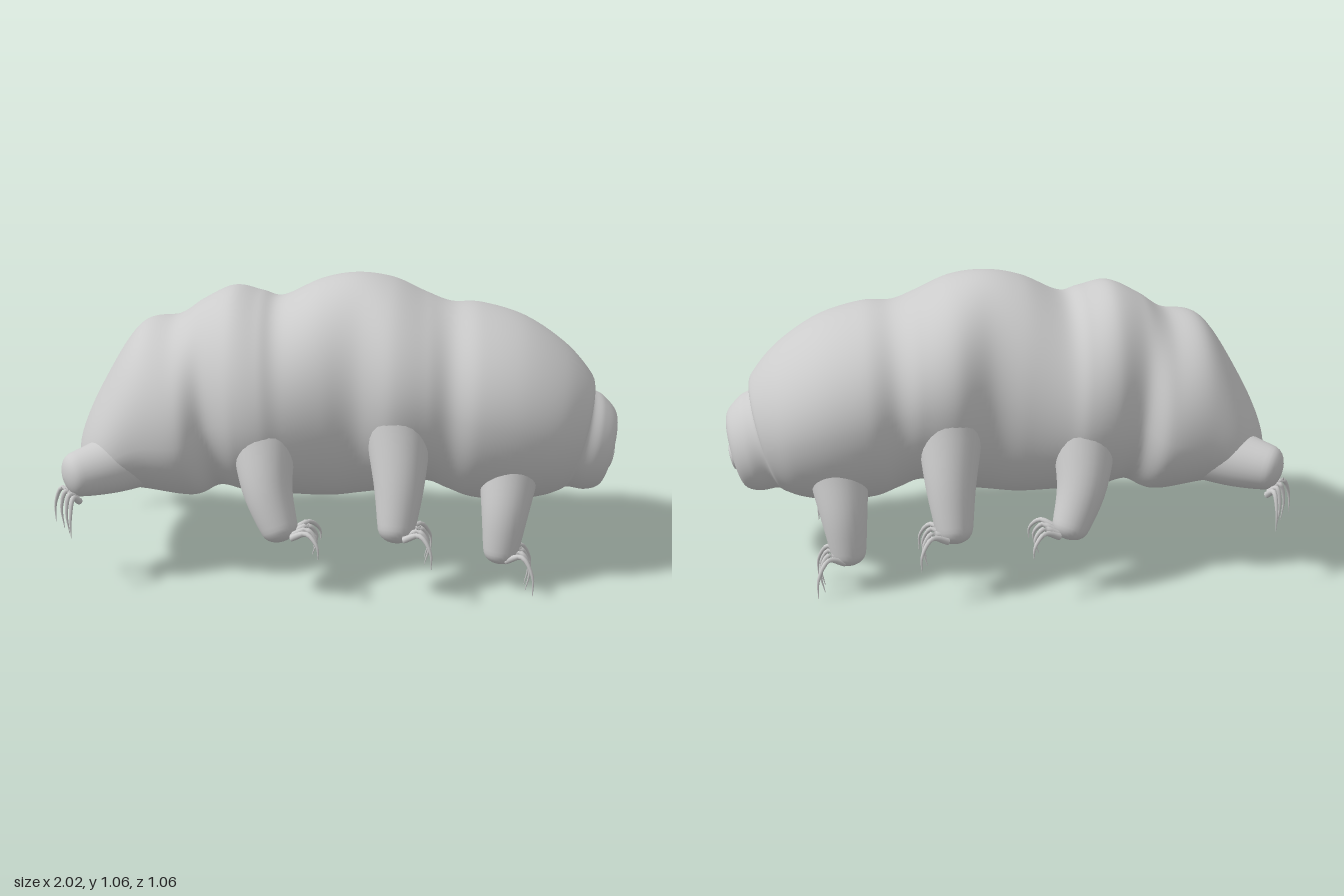
import * as THREE from 'three';

const material = new THREE.MeshStandardMaterial({ color: 0xcccccc, roughness: 0.7 });
const V = (x, y, z) => new THREE.Vector3(x, y, z);

// Smooth skin over a list of closed rings of points
function loft(name, rings) {
  const n = rings[0].length, index = [];
  for (let i = 0; i < rings.length - 1; i++)
    for (let j = 0; j < n; j++) {
      const a = i * n + j, b = i * n + (j + 1) % n;
      index.push(a, b, a + n, b, b + n, a + n);
    }
  const g = new THREE.BufferGeometry().setFromPoints(rings.flat());
  g.setIndex(index);
  g.computeVertexNormals();
  const mesh = new THREE.Mesh(g, material);
  mesh.name = name;
  return mesh;
}

// Round limb along a curve, radius given as a function of t
function limb(name, points, radius, ts, sides) {
  const curve = new THREE.CatmullRomCurve3(points);
  const ref = Math.abs(curve.getTangent(0.5).x) < 0.75 ? V(1, 0, 0) : V(0, 1, 0);
  const rings = ts.map((t) => {
    const c = curve.getPoint(t), T = curve.getTangent(t);
    const U = ref.clone().addScaledVector(T, -ref.dot(T)).normalize(), W = T.clone().cross(U);
    return Array.from({ length: sides }, (_, j) => {
      const a = j / sides * Math.PI * 2, r = radius(t);
      return c.clone().addScaledVector(U, r * Math.cos(a)).addScaledVector(W, r * Math.sin(a));
    });
  });
  return loft(name, rings);
}

// Body stations, tail to snout: top x, top y, bottom x, bottom y, half width
const stations = [
  [-0.945, 0.42, -0.93, 0.39, 0],
  [-0.955, 0.48, -0.92, 0.33, 0.2],
  [-0.88, 0.65, -0.83, 0.3, 0.325],
  [-0.74, 0.865, -0.69, 0.27, 0.375],
  [-0.6, 0.9, -0.53, 0.25, 0.395],
  [-0.51, 0.96, -0.44, 0.28, 0.345],
  [-0.4, 1.01, -0.35, 0.265, 0.39],
  [-0.3, 0.99, -0.26, 0.255, 0.4],
  [-0.22, 0.975, -0.18, 0.25, 0.38],
  [-0.08, 1.04, -0.05, 0.24, 0.355],
  [0.05, 1.065, 0.06, 0.25, 0.338],
  [0.18, 1.045, 0.18, 0.275, 0.388],
  [0.3, 0.99, 0.3, 0.31, 0.378],
  [0.39, 0.958, 0.38, 0.28, 0.36],
  [0.5, 0.953, 0.47, 0.25, 0.388],
  [0.66, 0.905, 0.61, 0.24, 0.375],
  [0.81, 0.805, 0.72, 0.255, 0.325],
  [0.905, 0.695, 0.78, 0.27, 0.245],
  [0.905, 0.645, 0.815, 0.282, 0.205],
  [0.95, 0.615, 0.88, 0.272, 0.188],
  [0.995, 0.56, 0.93, 0.285, 0.15],
  [0.995, 0.5, 0.95, 0.33, 0.09],
  [0.978, 0.42, 0.976, 0.41, 0],
];

function makeBody() {
  const top = new THREE.CatmullRomCurve3(stations.map((s) => V(s[0], s[1], s[4])), false, 'catmullrom');
  const low = new THREE.CatmullRomCurve3(stations.map((s) => V(s[2], s[3], 0)), false, 'catmullrom');
  const rings = [], steps = 176, sides = 64;
  for (let i = 0; i <= steps; i++) {
    const t = i / steps, p = top.getPoint(t), q = low.getPoint(t), ring = [];
    // Widest point sits low at the tail and higher towards the head
    const mid = 0.36 + 0.17 * Math.sin(t * Math.PI * 0.8);
    for (let j = 0; j < sides; j++) {
      const a = j / sides * Math.PI * 2, c = Math.cos(a);
      const h = c > 0 ? mid + (1 - mid) * c : mid * (1 + c);
      ring.push(V(q.x + (p.x - q.x) * h, q.y + (p.y - q.y) * h, Math.max(p.z, 0) * Math.sin(a)));
    }
    rings.push(ring);
  }
  return loft('body', rings);
}

// Legs: hip, knee and foot end, radii, claw heading, claw root, claw reach and drop
const legs = [
  { name: 'frontLeg', path: [[0.6, 0.42, 0.235], [0.585, 0.27, 0.3], [0.57, 0.095, 0.33]], r: [0.108, 0.064],
    heading: 0, root: [0.59, 0.14, 0.33], reach: 0.1, drop: 0.138 },
  { name: 'secondLeg', path: [[0.205, 0.58, 0.28], [0.21, 0.4, 0.365], [0.2, 0.21, 0.435]], r: [0.118, 0.068],
    heading: 0, root: [0.23, 0.26, 0.44], reach: 0.1, drop: 0.115 },
  { name: 'thirdLeg', path: [[-0.27, 0.55, 0.28], [-0.25, 0.38, 0.37], [-0.19, 0.21, 0.435]], r: [0.118, 0.068],
    heading: 0, root: [-0.16, 0.26, 0.44], reach: 0.1, drop: 0.085 },
  { name: 'hindLeg', path: [[-0.68, 0.46, 0.16], [-0.82, 0.425, 0.27], [-0.97, 0.405, 0.36]], r: [0.135, 0.082],
    heading: Math.PI - 0.5, root: [-0.93, 0.35, 0.36], reach: 0.055, drop: 0.14 },
];
// Steps crowd towards the rounded foot end
const legSteps = Array.from({ length: 19 }, (_, i) => 1 - (1 - i / 18) ** 2);
const clawSteps = Array.from({ length: 13 }, (_, i) => i / 12);

function makeLeg(leg, side) {
  const group = new THREE.Group();
  group.name = (side > 0 ? 'left ' : 'right ') + leg.name;
  const at = (p) => V(p[0], p[1], p[2] * side);
  const radius = (t) => {
    const cap = Math.max(0, (t - 0.8) / 0.2);
    return THREE.MathUtils.lerp(leg.r[0], leg.r[1], Math.min(1, t / 0.85)) * Math.sqrt(Math.max(0, 1 - cap ** 3));
  };
  group.add(limb('leg', leg.path.map(at), radius, legSteps, 28));
  // Four hooked claws fanned across the foot, the inner pair curling back further
  const c = Math.cos(leg.heading), s = Math.sin(leg.heading), [x, y, z] = leg.root;
  for (let i = 0; i < 4; i++) {
    const k = (i - 1.5) / 1.5, inner = 1 - Math.abs(k);
    const point = (f, dy, w) => at([x + c * f - s * w, y + dy, z + s * f + c * w]);
    const path = [
      point(0, -0.02, k * 0.035),
      point(leg.reach * 0.55, 0.005, k * 0.06),
      point(leg.reach * (0.92 - 0.1 * inner), -leg.drop * 0.4, k * 0.085),
      point(leg.reach * (0.95 - 0.35 * inner), -leg.drop + (1 - inner) * 0.008, k * 0.088),
    ];
    group.add(limb('claw', path, (t) => 0.0115 * (1 - t) ** 0.9 + 0.001, clawSteps, 8));
  }
  return group;
}

// Ringed mouth with small teeth, facing forward and slightly down
function makeMouth() {
  const mouth = new THREE.Group();
  mouth.name = 'mouth';
  const add = (name, geometry) => {
    const m = new THREE.Mesh(geometry, material);
    m.name = name;
    mouth.add(m);
    return m;
  };
  add('lipRing', new THREE.TorusGeometry(0.039, 0.011, 12, 40));
  add('innerRing', new THREE.TorusGeometry(0.024, 0.005, 10, 32));
  for (let i = 0; i < 10; i++) {
    const a = i / 10 * Math.PI * 2;
    const tooth = add('tooth', new THREE.SphereGeometry(0.006, 8, 6));
    tooth.position.set(0.031 * Math.cos(a), 0.031 * Math.sin(a), 0.003);
  }
  mouth.position.set(0.976, 0.393, 0);
  mouth.rotation.set(0, Math.PI / 2, 0);
  mouth.rotateX(0.24);
  return mouth;
}

export function createModel() {
  const model = new THREE.Group();
  model.name = 'waterBear';
  model.add(makeBody(), makeMouth());
  for (const leg of legs) for (const side of [1, -1]) model.add(makeLeg(leg, side));
  return model;
}
